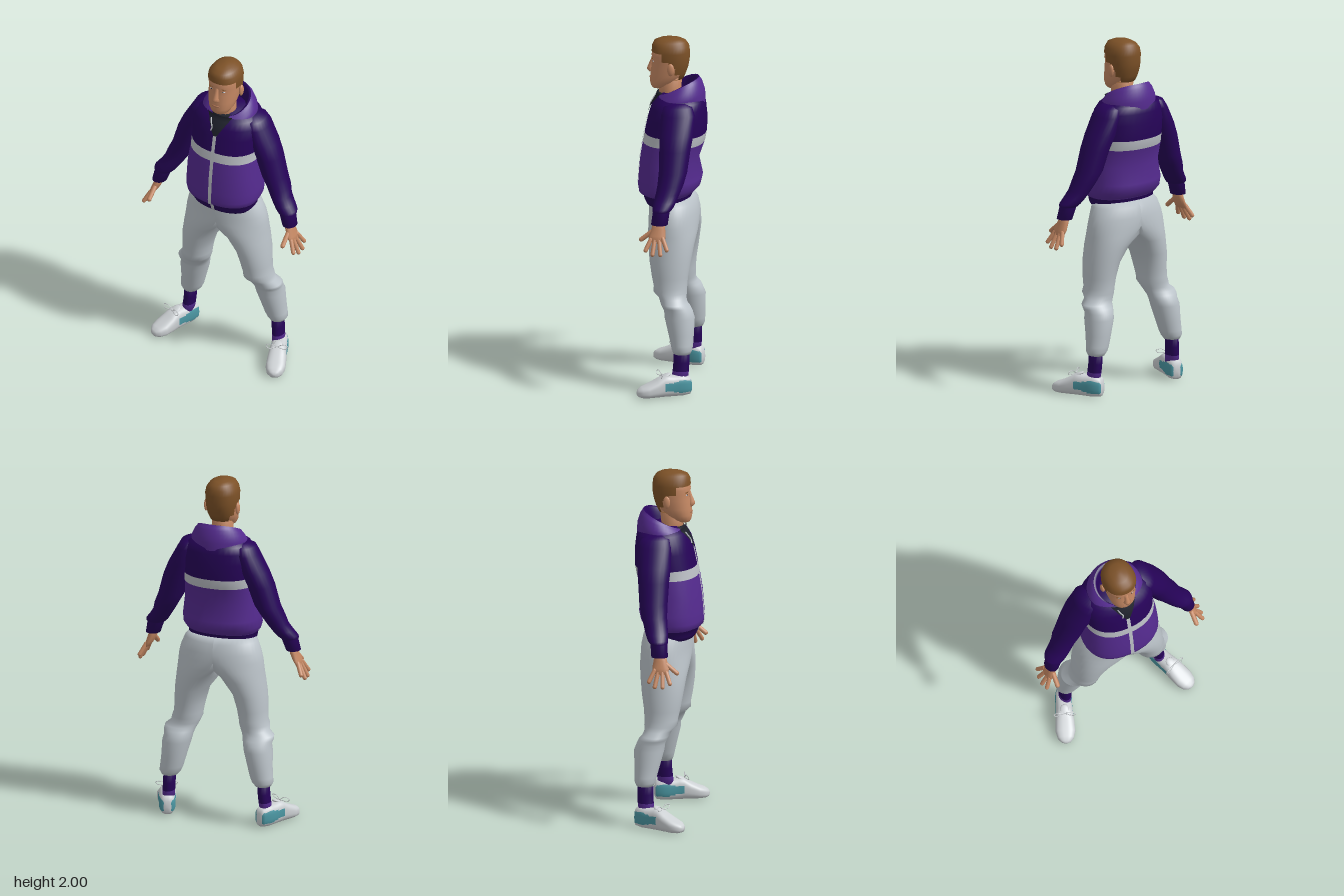
import * as THREE from 'three';

const mat = (name, color) => {
  const m = new THREE.MeshStandardMaterial({ color, side: THREE.DoubleSide });
  m.name = name;
  return m;
};

export function createModel() {
  const M = {
    navy: mat('deep purple cloth', 0x260358),
    purple: mat('purple cloth', 0x552b90),
    trim: mat('grey trim', 0xbbbfc5),
    pants: mat('light grey cloth', 0xbcc4ca),
    shoe: mat('white leather', 0xccd0d3),
    teal: mat('teal panel', 0x4c98a4),
    skin: mat('skin', 0xc68964),
    lip: mat('lips', 0xa86f50),
    hair: mat('brown hair', 0x7c5127),
    shirt: mat('black shirt', 0x1e212b),
  };
  const root = new THREE.Group();
  const add = (name, geo, material, parent = root) => {
    const m = new THREE.Mesh(geo, material);
    m.name = name;
    parent.add(m);
    return m;
  };

  // Stacked superellipse rings [y, xc, zc, rx, rz], rising in y.
  // pick(row, angle) gives a material slot, or -1 to leave the face out.
  // half = 1 or -1 keeps only that side of x = 0, open along the middle.
  function loft(rings, { n = 24, e = 2, pick = () => 0, slots = 1, half = 0 } = {}) {
    rings = [...rings].sort((a, b) => a[0] - b[0]);
    const pos = [], faces = Array.from({ length: slots }, () => []);
    const pw = v => Math.sign(v) * Math.abs(v) ** (2 / e);
    for (const [y, xc, zc, rx, rz] of rings)
      for (let j = 0; j < n; j++) {
        const a = (j / n) * Math.PI * 2, x = xc + rx * pw(Math.sin(a));
        pos.push(half ? half * Math.max(0, half * x) : x, y, zc + rz * pw(Math.cos(a)));
      }
    for (let i = 0; i < rings.length - 1; i++)
      for (let j = 0; j < n; j++) {
        const s = pick(i, ((j + 0.5) / n) * Math.PI * 2);
        const a = i * n + j, b = i * n + (j + 1) % n, c = b + n, d = a + n;
        const inMiddle = half && [a, b, c, d].every(k => pos[k * 3] === 0);
        if (s >= 0 && !inMiddle) faces[s].push(a, b, c, a, c, d);
      }
    [0, rings.length - 1].forEach((r, top) => {
      const c = pos.length / 3, [y, xc, zc] = rings[r];
      const s = Math.max(0, pick(top ? r - 1 : 0, Math.PI));
      pos.push(xc, y, zc);
      for (let j = 0; j < n; j++) {
        const a = r * n + j, b = r * n + (j + 1) % n;
        faces[s].push(c, ...(top ? [a, b] : [b, a]));
      }
    });
    return finish(pos, faces);
  }

  function finish(pos, faces) {
    const g = new THREE.BufferGeometry();
    g.setAttribute('position', new THREE.Float32BufferAttribute(pos, 3));
    g.setIndex(faces.flat());
    let start = 0;
    if (faces.length > 1) faces.forEach((f, i) => { g.addGroup(start, f.length, i); start += f.length; });
    g.computeVertexNormals();
    return g;
  }

  // Open sheet from f(u, v) -> [x, y, z]
  function sheet(nu, nv, f) {
    const pos = [], idx = [];
    for (let i = 0; i <= nv; i++) for (let j = 0; j <= nu; j++) pos.push(...f(j / nu, i / nv));
    for (let i = 0; i < nv; i++) for (let j = 0; j < nu; j++) {
      const a = i * (nu + 1) + j, d = a + nu + 1;
      idx.push(a, a + 1, d + 1, a, d + 1, d);
    }
    return finish(pos, [idx]);
  }

  const ball = (name, p, s, material, parent) => {
    const m = add(name, new THREE.SphereGeometry(1, 14, 10), material, parent);
    m.position.set(...p);
    m.scale.set(...s);
    return m;
  };
  const limb = (name, a, b, r, material) => {
    const A = new THREE.Vector3(...a), B = new THREE.Vector3(...b), d = B.clone().sub(A);
    const m = add(name, new THREE.CapsuleGeometry(r, d.length(), 4, 8), material);
    m.position.copy(A).lerp(B, 0.5);
    m.quaternion.setFromUnitVectors(new THREE.Vector3(0, 1, 0), d.normalize());
  };
  const tube = (name, pts, r, material, parent) =>
    add(name, new THREE.TubeGeometry(new THREE.CatmullRomCurve3(pts.map(p => new THREE.Vector3(...p))), 24, r, 5), material, parent);

  // Jacket body: dark hem, purple belly, grey band, dark chest
  const torso = [
    [1.05, 0, .02, .182, .125], [1.075, 0, .024, .195, .132], [1.108, 0, .026, .2, .138],
    [1.118, 0, .03, .211, .157], [1.15, 0, .018, .223, .174], [1.2, 0, .011, .223, .178],
    [1.3, 0, .018, .215, .163], [1.405, 0, -.008, .207, .173], [1.46, 0, -.018, .205, .173],
    [1.55, 0, -.028, .208, .164], [1.61, 0, -.034, .2, .152], [1.65, 0, -.042, .178, .138], [1.69, 0, -.045, .11, .1],
  ];
  add('jacketBody', loft(torso, { n: 36, e: 2.3, slots: 3, pick: r => (r < 2 || r > 7 ? 0 : r === 7 ? 2 : 1) }),
    [M.navy, M.purple, M.trim]);
  const frontZ = y => {
    const i = Math.max(1, torso.findIndex(r => r[0] >= y));
    const [a, b] = [torso[i - 1], torso[i]], t = (y - a[0]) / (b[0] - a[0]);
    return (a[2] + a[4]) * (1 - t) + (b[2] + b[4]) * t;
  };
  add('zip', sheet(1, 60, (u, v) => {
    const y = 1.05 + v * 0.525;
    return [(u - .5) * .021, y, frontZ(y) + .005];
  }), M.trim);

  // Shirt showing in the collar opening
  add('shirtFront', sheet(6, 8, (u, v) => {
    const y = 1.565 + v * .115, x = (u - .5) * 2 * (.01 + .068 * v);
    return [x, y, Math.max(frontZ(y), .085) + .007 - x * x * 3];
  }), M.shirt);
  add('shirtCollar', loft([[1.62, 0, .005, .085, .09], [1.675, 0, .012, .075, .078], [1.685, 0, .012, .066, .07]]), M.shirt);
  tube('drawstring', [[-.045, 1.655], [-.034, 1.63], [-.024, 1.61], [-.03, 1.59]].map(([x, y]) => [x, y, frontZ(y) + .007]), .004, M.trim);

  // Hood lying round the neck, open at the front
  const hoodPoint = (rows, u, v) => {
    const t = (u - .5) * 2 * Math.PI * .87, k = (1 - Math.cos(t)) / 2;
    const f = v * (rows.length - 1), i = Math.min(rows.length - 2, Math.floor(f)), w = f - i;
    const [rx, rz, zc, h] = rows[i].map((p, q) => p * (1 - w) + rows[i + 1][q] * w);
    const low = 1.625 - .045 * k ** 3, rim = 1.775 - .105 * k ** 1.2;
    return [-rx * Math.sin(t), low + (rim - low) * h, zc - rz * Math.cos(t)];
  };
  const outer = [[.16, .148, -.034, -.1], [.163, .15, -.034, .2], [.157, .145, -.036, .5], [.138, .128, -.038, .82], [.12, .112, -.036, 1]];
  const inner = [[.12, .112, -.036, 1], [.108, .102, -.03, .96], [.1, .095, -.02, .6], [.092, .09, -.01, 0]];
  add('hoodOuter', sheet(36, 8, (u, v) => hoodPoint(outer, u, v)), M.purple);
  add('hoodLining', sheet(36, 6, (u, v) => hoodPoint(inner, u, v)), M.navy);

  // Head and neck
  add('neck', loft([[1.62, 0, .005, .068, .07], [1.7, 0, .015, .06, .062], [1.8, 0, .01, .06, .067]]), M.skin);
  add('head', loft([
    [1.708, 0, .083, .035, .03], [1.722, 0, .072, .055, .05], [1.75, 0, .052, .072, .076], [1.79, 0, .032, .081, .092],
    [1.84, 0, .02, .085, .1], [1.875, 0, .014, .087, .099], [1.9, 0, .015, .088, .104], [1.94, 0, .01, .086, .098],
    [1.975, 0, .008, .066, .076], [1.99, 0, .005, .035, .04]], { e: 2.2 }), M.skin);
  add('hair', loft([
    [1.765, 0, .01, .066, .07], [1.8, 0, .014, .083, .09], [1.84, 0, .013, .09, .102], [1.875, 0, .011, .093, .106],
    [1.922, 0, .011, .095, .107], [1.955, 0, .012, .088, .104], [1.98, 0, .014, .07, .09], [1.994, 0, .012, .045, .06],
    [2, 0, .008, .014, .018]], {
    e: 2.2, n: 36,
    pick: (r, a) => {
      const fromFront = Math.min(a, Math.PI * 2 - a);
      return fromFront > [2.25, 1.95, 1.6, 1.15, 0][Math.min(r, 4)] ? 0 : -1;
    },
  }), M.hair);
  add('nose', loft([[1.797, 0, .118, .014, .012], [1.81, 0, .122, .021, .023], [1.825, 0, .121, .016, .022],
    [1.86, 0, .113, .011, .014], [1.89, 0, .11, .012, .006]], { n: 12 }), M.skin);
  ball('mouth', [0, 1.768, .122], [.026, .006, .008], M.lip);

  for (const s of [1, -1]) {
    const side = s > 0 ? 'left' : 'right';
    const mx = rings => rings.map(([y, x, ...r]) => [y, x * s, ...r]);
    ball(side + 'Ear', [s * .094, 1.835, .0], [.012, .036, .02], M.skin);
    ball(side + 'Eye', [s * .036, 1.868, .103], [.013, .004, .006], M.trim);
    ball(side + 'Pupil', [s * .036, 1.868, .107], [.004, .004, .003], M.shirt);
    ball(side + 'Brow', [s * .037, 1.886, .104], [.02, .003, .008], M.hair).rotation.z = s * -.08;

    // Sleeve and cuff
    add(side + 'Sleeve', loft(mx([
      [1.66, .14, -.048, .03, .045], [1.642, .16, -.05, .056, .08], [1.6, .176, -.052, .063, .095], [1.5, .214, -.048, .08, .096],
      [1.42, .25, -.044, .077, .088], [1.3, .287, -.038, .073, .08], [1.235, .32, -.028, .067, .073], [1.19, .34, -.016, .06, .067],
      [1.15, .366, -.004, .06, .064], [1.12, .388, .006, .062, .058], [1.105, .397, .012, .056, .053], [1.098, .4, .014, .047, .047],
      [1.03, .419, .022, .041, .047]])), M.navy);

    // Hand
    add(side + 'Palm', loft(mx([[1.06, .413, .022, .024, .03], [1.01, .424, .027, .024, .038], [.97, .44, .032, .021, .048],
      [.94, .454, .032, .014, .045]]), { n: 16 }), M.skin);
    const fingers = [[.066, .94, .092, .884], [.044, .94, .052, .864], [.02, .94, .008, .864], [0, .948, -.027, .89]];
    fingers.forEach(([z0, y0, z1, y1], i) =>
      limb(side + 'Finger' + (i + 1), [s * .453, y0 + .01, z0], [s * (.452 + (y0 - y1) * .52), y1 + .009, z1], .0122, M.skin));
    limb(side + 'Thumb', [s * .428, 1.0, .05], [s * .43, .942, .122], .0135, M.skin);

    // Trouser half: leg gathered at ankle and knee, opening into the seat
    add(side + 'Trousers', loft(mx([
      [1.09, 0, .005, .185, .125], [1.06, 0, -.005, .212, .138], [1, 0, -.012, .236, .143], [.95, .03, -.012, .217, .142],
      [.9, .078, -.012, .173, .139], [.84, .132, -.01, .126, .13], [.75, .172, -.008, .097, .117],
      [.66, .187, -.008, .087, .102], [.605, .193, -.012, .082, .094], [.575, .2, -.012, .086, .094], [.545, .208, -.026, .082, .077],
      [.52, .23, -.036, .092, .076], [.5, .235, -.05, .088, .08], [.475, .235, -.062, .082, .08], [.44, .243, -.07, .082, .085],
      [.35, .257, -.08, .071, .072], [.29, .268, -.086, .066, .063], [.26, .276, -.088, .061, .058], [.238, .279, -.088, .045, .048]]),
      { n: 40, half: s }), M.pants);

    // Sock
    add(side + 'Sock', loft(mx([[.26, .28, -.085, .034, .045], [.19, .283, -.085, .034, .045], [.14, .287, -.082, .034, .046],
      [.09, .292, -.075, .034, .046]]), { n: 16, slots: 2, pick: r => (r < 1 ? 1 : 0) }), [M.navy, M.purple]);

    // Shoe, turned outward, with a panel round the heel tapering forward
    const foot = new THREE.Group();
    foot.name = side + 'Shoe';
    foot.position.set(s * .332, 0, .006);
    foot.rotation.y = s * .38;
    root.add(foot);
    const shoe = [ // z, half width, bottom, top
      [-.155, .022, .02, .085], [-.145, .038, .006, .112], [-.105, .047, 0, .122], [-.075, .047, 0, .12], [-.045, .047, 0, .12],
      [-.02, .048, 0, .124], [.005, .05, 0, .124], [.045, .054, 0, .1], [.095, .055, 0, .075], [.13, .045, .002, .062],
      [.15, .027, .008, .048], [.157, .01, .018, .036],
    ].map(([z, w, lo, hi]) => [z, 0, -(lo + hi) / 2, w, (hi - lo) / 2]);
    const panel = [.6, .55, .5, .42, .3, .2];
    add('shoeUpper', loft(shoe, {
      e: 2.7, n: 48, slots: 2, pick: (r, a) => (r < panel.length && Math.abs(Math.cos(a)) < panel[r] ? 1 : 0),
    }).rotateX(Math.PI / 2), [M.shoe, M.teal], foot);
    ball('tongue', [0, .118, -.005], [.026, .01, .035], M.shoe, foot).rotation.x = .4;
    for (const k of [1, -1])
      tube('laceLoop', [[0, .122, .015], [k * .03, .142, .02], [k * .062, .136, .025], [k * .05, .12, .03], [0, .12, .015]], .0022, M.shoe, foot);
  }

  return root;
}
